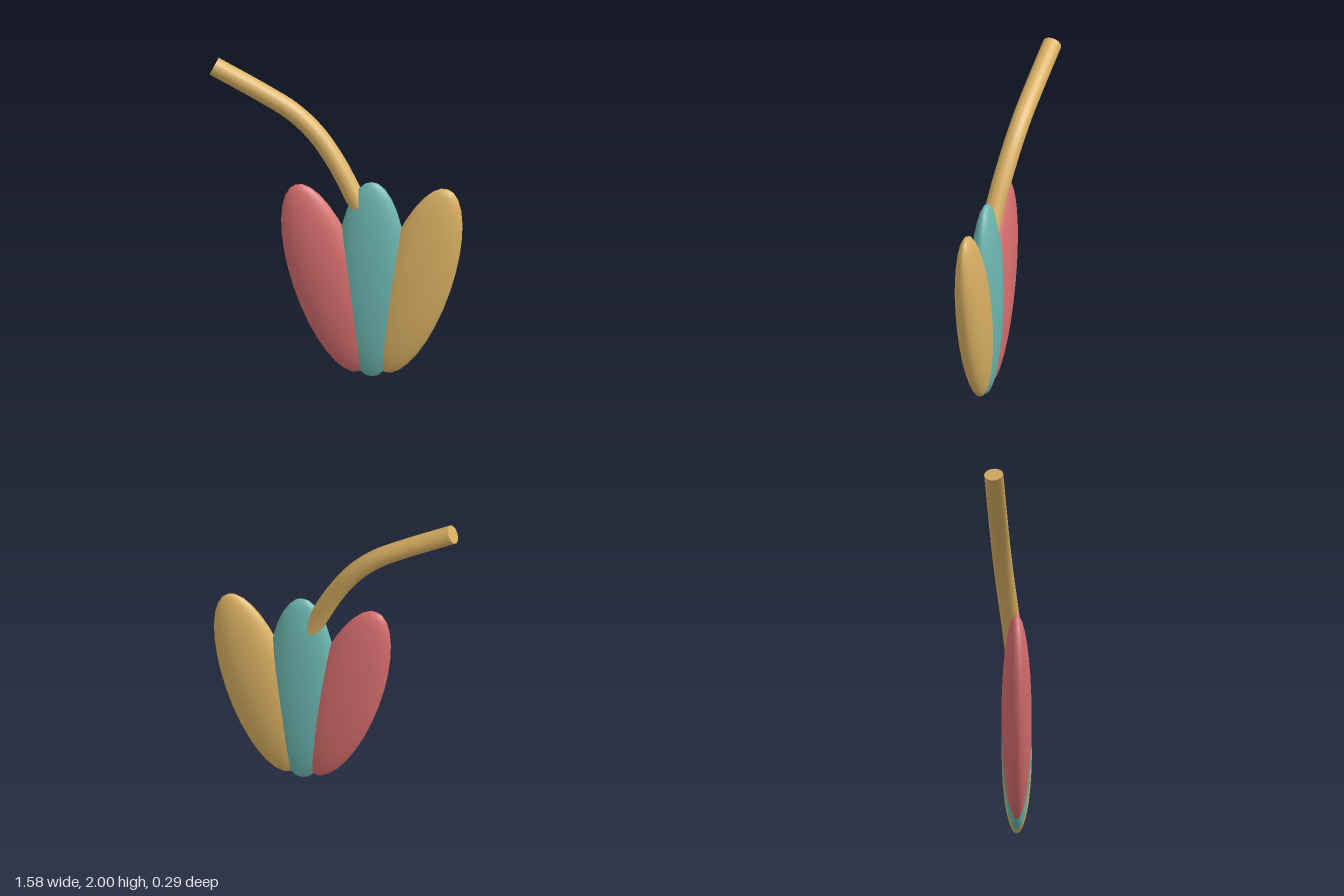
import * as THREE from 'three';

export function createModel() {
  const model = new THREE.Group();
  const material = (name, color) => {
    const m = new THREE.MeshStandardMaterial({ color });
    m.name = name;
    return m;
  };
  const red = material('coral red', 0xd66d6d);
  const teal = material('soft teal', 0x6cb5af);
  const gold = material('sand gold', 0xd9b062);

  const add = (name, geometry, mat, parent = model) => {
    const mesh = new THREE.Mesh(geometry, mat);
    mesh.name = name;
    parent.add(mesh);
    return mesh;
  };

  // Three flattened ellipsoid lobes, fanned out from the base
  const lobe = new THREE.SphereGeometry(1, 24, 16).scale(0.22, 0.635, 0.093);
  const lobes = [
    ['rightLobe', red, -1],
    ['middleLobe', teal, 0],
    ['leftLobe', gold, 1],
  ];
  for (const [name, mat, side] of lobes) {
    const mesh = add(name, lobe, mat);
    mesh.position.set(0.228 + side * 0.274, 0.64, 0.054);
    mesh.rotation.z = -side * THREE.MathUtils.degToRad(18);
  }

  // Curved stem, leaning to the right and back, with flat closed ends
  const stem = new THREE.Group();
  stem.name = 'stem';
  model.add(stem);
  const radius = 0.059;
  const path = new THREE.CatmullRomCurve3([
    [0.19, 1.03, 0.052],
    [0.114, 1.18, 0.038],
    [0.01, 1.37, 0.01],
    [-0.12, 1.55, -0.02],
    [-0.27, 1.685, -0.042],
    [-0.44, 1.785, -0.058],
    [-0.76, 1.95, -0.085],
  ].map((p) => new THREE.Vector3(...p)));
  add('stemTube', new THREE.TubeGeometry(path, 40, radius, 20), gold, stem);
  for (const [name, t, sign] of [['stemBase', 0, -1], ['stemTip', 1, 1]]) {
    const cap = add(name, new THREE.CircleGeometry(radius, 20), gold, stem);
    cap.position.copy(path.getPointAt(t));
    const outward = path.getTangentAt(t).multiplyScalar(sign);
    cap.quaternion.setFromUnitVectors(new THREE.Vector3(0, 0, 1), outward);
  }

  return model;
}
